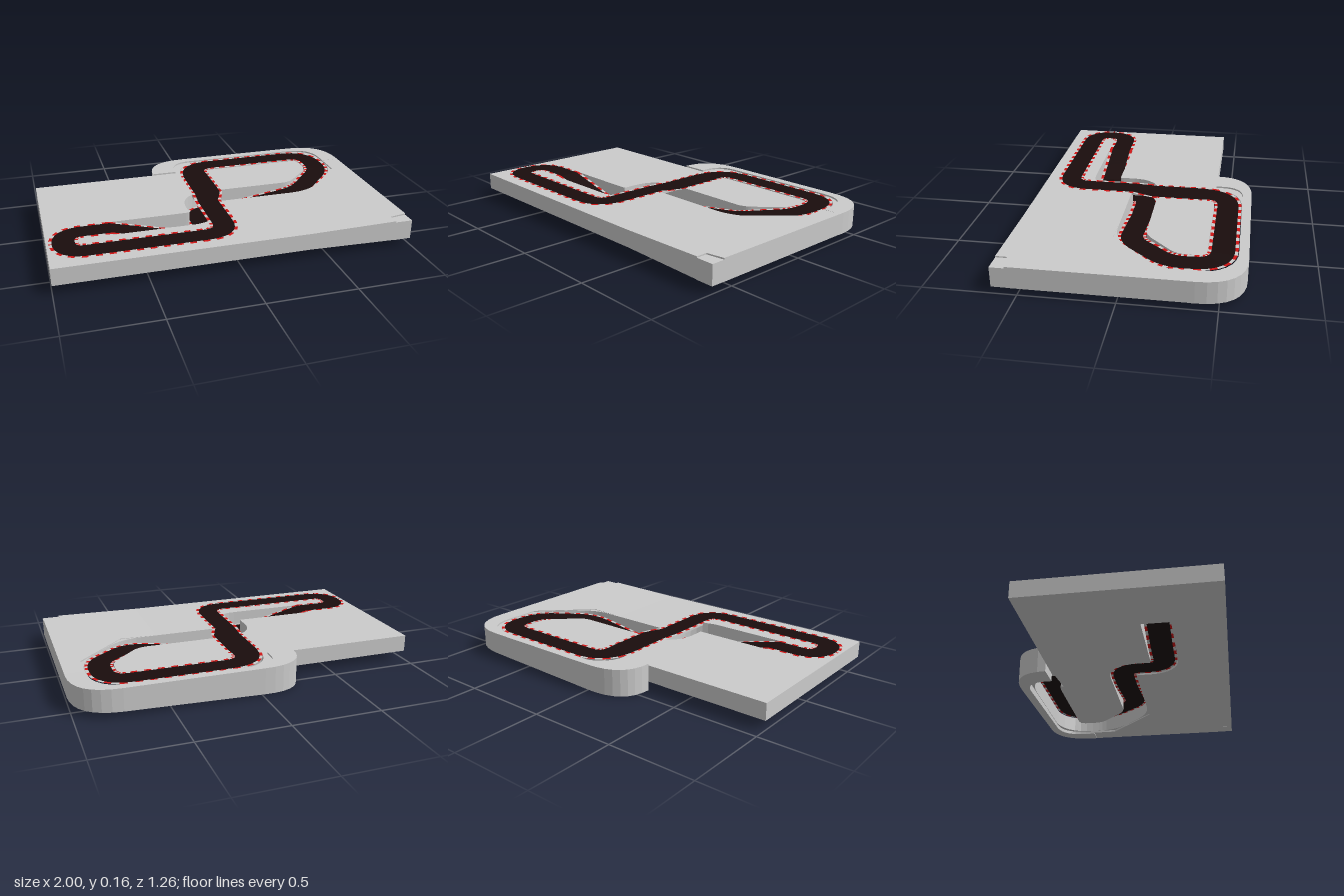
import * as THREE from 'three';

const grey = () => new THREE.MeshStandardMaterial({ color: 0xcccccc, side: THREE.DoubleSide });
const paint = (color) => new THREE.MeshStandardMaterial({ color, side: THREE.DoubleSide });
const lerp = THREE.MathUtils.lerp;

// Samples a path of corners [x, z, y, halfWidth, radius], rounding each corner.
function roundPath(corners, closed, steps = 8) {
  const v = corners.map(([x, z, y = 0, w = 0.062, r = 0]) => ({ p: new THREE.Vector4(x, y, z, w), r }));
  const out = [];
  v.forEach(({ p, r }, i) => {
    const a = v[(i + v.length - 1) % v.length].p, b = v[(i + 1) % v.length].p;
    if (!r || (!closed && (i === 0 || i === v.length - 1))) { out.push(p.clone()); return; }
    const flat = (q) => Math.hypot(q.x - p.x, q.z - p.z);
    const s = p.clone().lerp(a, Math.min(1, r / flat(a)));
    const e = p.clone().lerp(b, Math.min(1, r / flat(b)));
    for (let k = 0; k <= steps; k++) {
      const t = k / steps;
      out.push(s.clone().lerp(p, t).lerp(p.clone().lerp(e, t), t));
    }
  });
  return out;
}

// Splits a closed sampled path into short, even pieces.
function subdivide(path, size) {
  const out = [];
  path.forEach((a, i) => {
    const b = path[(i + 1) % path.length];
    const n = Math.max(1, Math.round(Math.hypot(b.x - a.x, b.z - a.z) / size));
    for (let k = 0; k < n; k++) out.push(a.clone().lerp(b, k / n));
  });
  return out;
}

// Point beside sample i, at a signed sideways distance.
function beside(path, i, d, closed = true) {
  const n = path.length, p = path[i];
  const a = closed ? path[(i + n - 1) % n] : path[Math.max(0, i - 1)];
  const b = closed ? path[(i + 1) % n] : path[Math.min(n - 1, i + 1)];
  const l = Math.hypot(b.x - a.x, b.z - a.z) || 1;
  return [p.x - (b.z - a.z) / l * d, p.y, p.z + (b.x - a.x) / l * d];
}

// Flat ribbon between two sideways offsets; keep(i) selects the pieces.
function ribbon(path, from, to, keep = () => true, lift = 0) {
  const pos = [];
  path.forEach((p, i) => {
    if (!keep(i)) return;
    const j = (i + 1) % path.length;
    const q = [beside(path, i, from(p)), beside(path, j, from(path[j])),
      beside(path, j, to(path[j])), beside(path, i, to(p))];
    for (const k of [0, 2, 1, 0, 3, 2]) pos.push(q[k][0], q[k][1] + lift, q[k][2]);
  });
  const g = new THREE.BufferGeometry();
  g.setAttribute('position', new THREE.Float32BufferAttribute(pos, 3));
  g.computeVertexNormals();
  return g;
}

// Upright prism on an [x, z] outline, with bottom and top heights given by x.
function prism(outline, bottom, top, hole) {
  const to2 = ([x, z]) => new THREE.Vector2(x, -z);
  const shape = new THREE.Shape(outline.map(to2));
  if (hole) shape.holes.push(new THREE.Path(hole.map(to2)));
  const g = new THREE.ExtrudeGeometry(shape, { depth: 1, bevelEnabled: false });
  g.rotateX(-Math.PI / 2);
  const p = g.attributes.position;
  for (let i = 0; i < p.count; i++) p.setY(i, p.getY(i) > 0.5 ? top(p.getX(i)) : bottom(p.getX(i)));
  g.computeVertexNormals();
  return g;
}

export function createModel() {
  const group = new THREE.Group();
  const add = (name, geometry, material) => {
    const m = new THREE.Mesh(geometry, material);
    m.name = name;
    group.add(m);
  };
  const TOP = 0.148, ROAD = 0.151, W = 0.062;

  // Sunken half of the circuit, then the half lying on the surface
  const sunken = [
    [-0.64, 0.265, ROAD, W, 0],
    [-0.32, 0.265, 0.07, W, 0],
    [-0.095, 0.265, 0.06, W, 0.1],
    [-0.095, 0, 0.06, W, 0.1],
    [0.15, 0, 0.062, W, 0],
    [0.58, 0, 0.125, W, 0.09],
    [0.81, -0.23, 0.146, W, 0.09],
    [0.81, -0.5, ROAD, W, 0.14],
    [0, -0.5, ROAD, W, 0.15],
  ];
  const surface = [
    [0, -0.33, ROAD, 0.08, 0],
    [0, -0.06, ROAD, 0.08, 0],
    [-0.03, 0.06, ROAD, W, 0],
    [-0.03, 0.49, ROAD, W, 0.13],
    [-0.91, 0.49, ROAD, W, 0.112],
    [-0.91, 0.265, ROAD, W, 0.112],
  ];
  const circuit = subdivide(roundPath([...sunken, ...surface], true), 0.036);

  // Slot through the base under the sunken half
  const slotPath = roundPath([...sunken, [0, -0.4, ROAD, W, 0]], false);
  const side = (d) => slotPath.map((p, i) => {
    const q = beside(slotPath, i, d, false);
    return [q[0], q[2]];
  });
  const slot = [...side(0.08), ...side(-0.08).reverse()];

  // Base board with rounded rear corners
  const rear = roundPath([
    [1, -0.35], [1, -0.632, 0, 0, 0.25], [-0.262, -0.632, 0, 0, 0.25], [-0.262, -0.42],
  ], false).map((p) => [p.x, p.z]);
  add('baseBoard', prism([[-1, -0.42], [-1, 0.632], [1, 0.632], ...rear],
    () => 0.052, () => TOP, slot), grey());

  // Wedge thickening the board towards its left edge, with a corner notch
  const rise = (x) => Math.max(0, (x - 0.4) / 0.6);
  add('sideWedge', prism([
    [0.4, 0.085], [0.4, 0.632], [0.9, 0.632], [0.9, 0.57], [1, 0.555],
    [1, -0.35], [0.892, -0.35], [0.892, -0.2], [0.615, 0.085],
  ], (x) => lerp(0.052, 0.037, rise(x)), (x) => lerp(TOP, 0.157, rise(x)), null), grey());
  add('cornerStep', prism([[0.9, 0.57], [0.9, 0.632], [1, 0.632], [1, 0.555]],
    () => 0.038, () => TOP + 0.0005), grey());

  // Rear bank hanging below the board, deepest at its free end
  const inner = roundPath([
    [-0.11, -0.42], [-0.11, -0.582, 0, 0, 0.13], [0.892, -0.582, 0, 0, 0.17], [0.892, -0.35],
  ], false).map((p) => [p.x, p.z]);
  add('rearBank', prism([...rear, ...inner],
    (x) => lerp(0, 0.036, (x + 0.262) / 1.262), () => 0.157), grey());

  // Bridge deck over the sunken road
  const deck = new THREE.BoxGeometry(0.13, 0.016, 0.44);
  deck.translate(-0.03, TOP - 0.008, 0.13);
  add('bridgeDeck', deck, grey());

  // Road surface and dashed kerbs on both edges
  add('road', ribbon(circuit, (p) => -p.w, (p) => p.w), paint(0x1a0d0d));
  for (const s of [-1, 1]) {
    const near = (p) => s * (p.w - 0.002), far = (p) => s * Math.min(p.w + 0.015, 0.092);
    add('kerbRed', ribbon(circuit, near, far, (i) => i % 2 === 0, 0.001), paint(0xd01414));
    add('kerbPale', ribbon(circuit, near, far, (i) => i % 2 === 1, 0.001), grey());
  }
  return group;
}
